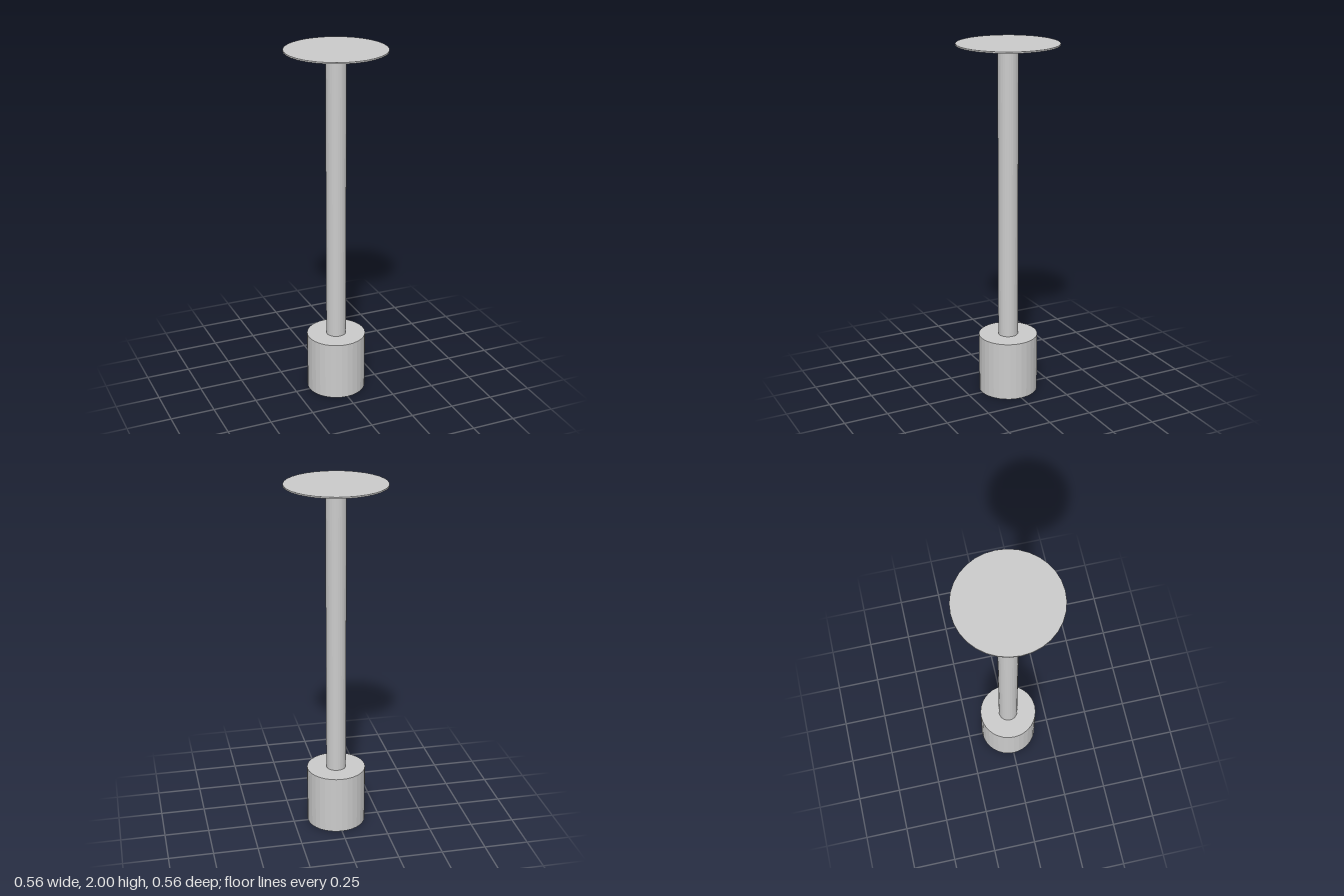
import * as THREE from 'three';

export function createModel() {
  const group = new THREE.Group();
  const material = new THREE.MeshStandardMaterial({ color: 0xcccccc, flatShading: true });

  // Upright 32-sided cylinder between two heights
  const addCylinder = (name, radius, bottom, top) => {
    const geometry = new THREE.CylinderGeometry(radius, radius, top - bottom, 32);
    const mesh = new THREE.Mesh(geometry, material);
    mesh.name = name;
    mesh.position.y = (bottom + top) / 2;
    group.add(mesh);
  };

  addCylinder('base', 0.167, 0, 0.337);
  addCylinder('pole', 0.056, 0.337, 1.992);
  addCylinder('topDisc', 0.28, 1.992, 2);

  return group;
}
